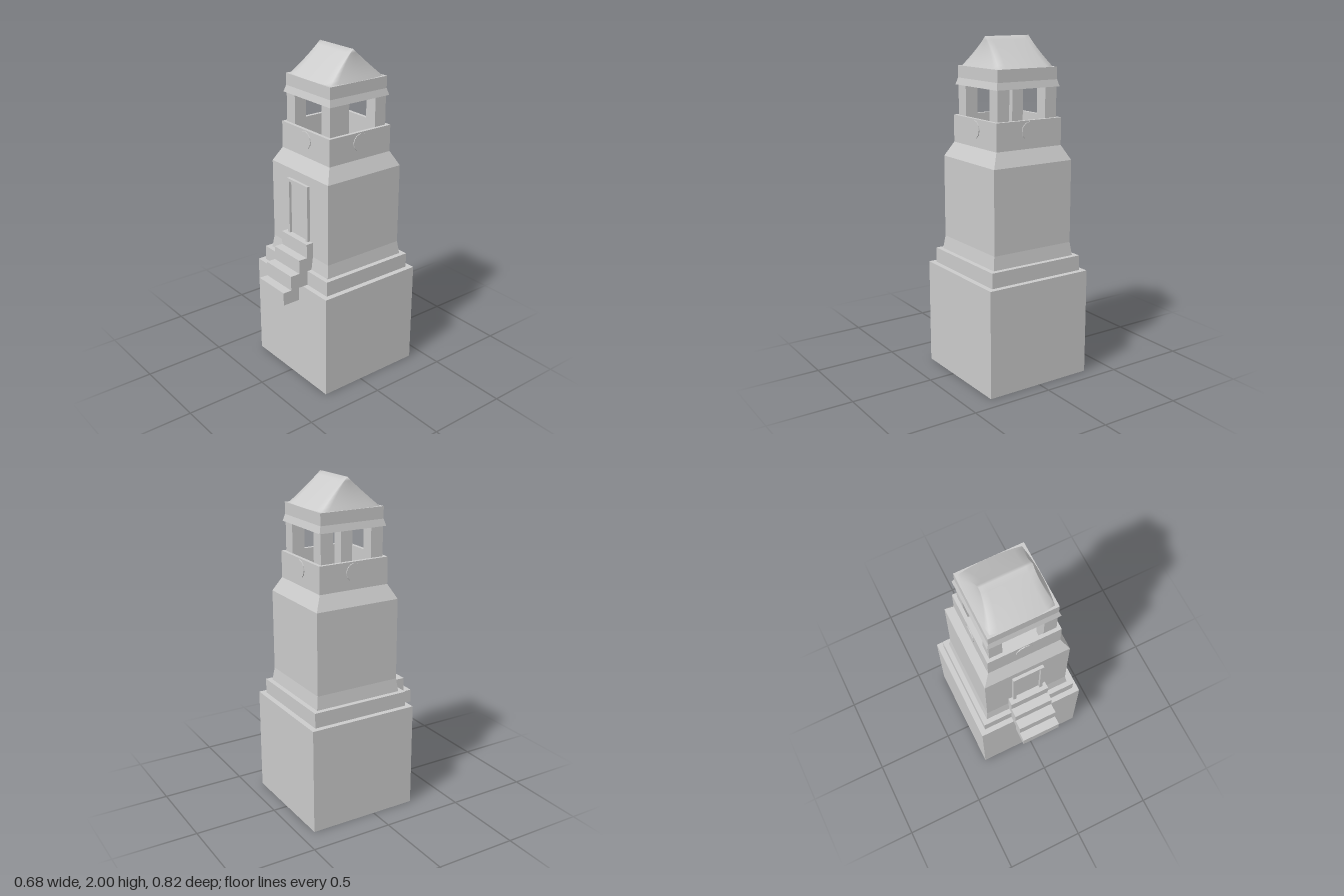
import * as THREE from 'three';
import { mergeVertices } from 'three/addons/utils/BufferGeometryUtils.js';

const CZ = -0.07; // the tower axis sits behind the origin because of the stairs

export function createModel() {
  const model = new THREE.Group();
  model.name = 'tower';
  const mat = new THREE.MeshStandardMaterial({ color: 0xcccccc, side: THREE.DoubleSide });

  const add = (name, geometry, x = 0, y = 0, z = 0, parent = model) => {
    const mesh = new THREE.Mesh(geometry, mat);
    mesh.name = name;
    mesh.position.set(x, y, z);
    parent.add(mesh);
    return mesh;
  };

  // Box given by its min and max corners
  const block = (name, x0, x1, y0, y1, z0, z1) =>
    add(name, new THREE.BoxGeometry(x1 - x0, y1 - y0, z1 - z0),
      (x0 + x1) / 2, (y0 + y1) / 2, (z0 + z1) / 2);

  // Square shell from a profile of [half width, height], bottom to top
  const squareShell = (name, profile) => {
    const points = profile.map(([h, y]) => new THREE.Vector2(h * Math.SQRT2, y));
    const g = new THREE.LatheGeometry(points, 4).rotateY(Math.PI / 4).toNonIndexed();
    g.computeVertexNormals();
    return add(name, g, 0, 0, CZ);
  };

  // Hollow base, stepped plinth, shaft and shoulder
  squareShell('base', [[0.34, 0], [0.34, 0.64], [0.3, 0.64]]);
  squareShell('plinth', [[0.307, 0.64], [0.307, 0.73], [0.26, 0.73]]);
  squareShell('shaft', [[0.277, 0.73], [0.266, 0.81], [0.266, 1.3], [0.222, 1.385]]);

  // Parapet with a sunken floor
  squareShell('parapet', [[0.222, 1.385], [0.222, 1.545], [0.2, 1.545], [0.2, 1.4], [0, 1.4]]);

  // Round plaques on the four parapet faces
  for (let i = 0; i < 4; i++) {
    const a = i * Math.PI / 2;
    const disc = new THREE.CylinderGeometry(0.053, 0.053, 0.014, 12).rotateX(Math.PI / 2).toNonIndexed();
    disc.computeVertexNormals();
    const plaque = add('plaque', disc, Math.sin(a) * 0.22, 1.485, CZ + Math.cos(a) * 0.22);
    plaque.rotation.y = a;
  }

  // Corner posts of the lantern
  for (const sx of [-1, 1]) {
    for (const sz of [-1, 1]) {
      add('post', new THREE.BoxGeometry(0.078, 0.34, 0.078), sx * 0.162, 1.57, CZ + sz * 0.162);
    }
  }

  // Flared cornice with the ceiling under the roof
  squareShell('cornice', [[0.196, 1.74], [0.214, 1.72], [0.203, 1.76], [0.203, 1.83], [0, 1.83]]);

  // Roof: bowed eaves rising to a straight ridge
  add('roof', roofGeometry(), 0, 0, CZ);

  // Stairs, lowest step first
  const stepY = [0.56, 0.64, 0.73, 0.815, 0.9];
  const stepFront = [0.41, 0.355, 0.295, 0.24];
  const stepBack = [0.3, 0.235, 0.19, 0.19];
  stepFront.forEach((z, i) => block('step', -0.123, 0.123, stepY[i], stepY[i + 1], stepBack[i], z));

  // Door with its frame
  block('doorPanel', -0.078, 0.078, 0.9, 1.225, 0.185, 0.199);
  for (const s of [-1, 1]) {
    add('doorJamb', new THREE.BoxGeometry(0.02, 0.325, 0.03), s * 0.087, 1.0625, 0.2);
  }
  block('doorLintel', -0.097, 0.097, 1.225, 1.243, 0.185, 0.215);

  return model;
}

function roofGeometry() {
  const rows = 8, perSide = 8, ring = perSide * 4;
  const positions = [], index = [];
  for (let r = 0; r <= rows; r++) {
    const t = r / rows;
    // Ends are concave, long slopes nearly straight
    const halfX = 0.148 + 0.052 * Math.pow(1 - t, 1.7);
    const halfZ = 0.203 * (1 - t);
    for (let i = 0; i < ring; i++) {
      const side = Math.floor(i / perSide);
      const u = (i % perSide) / perSide * 2 - 1;
      // Walk round a square whose sides bow outwards
      const along = u * 0.92;
      const out = 1 - 0.08 * u * u;
      const [x, z] = [[along, out], [out, -along], [-along, -out], [-out, along]][side];
      // The end bow fades towards the ridge
      const k = side % 2 ? THREE.MathUtils.lerp(x, Math.sign(x), t) : x * (1 + 0.087 * t);
      positions.push(k * halfX, 1.83 + 0.17 * t, z * halfZ);
    }
  }
  for (let r = 0; r < rows; r++) {
    for (let i = 0; i < ring; i++) {
      const a = r * ring + i, b = r * ring + (i + 1) % ring;
      index.push(a, b, b + ring);
      index.push(a, b + ring, a + ring);
    }
  }
  let g = new THREE.BufferGeometry();
  g.setAttribute('position', new THREE.Float32BufferAttribute(positions, 3));
  g.setIndex(index);
  g = mergeVertices(g, 1e-4);
  g.computeVertexNormals();
  return g;
}
